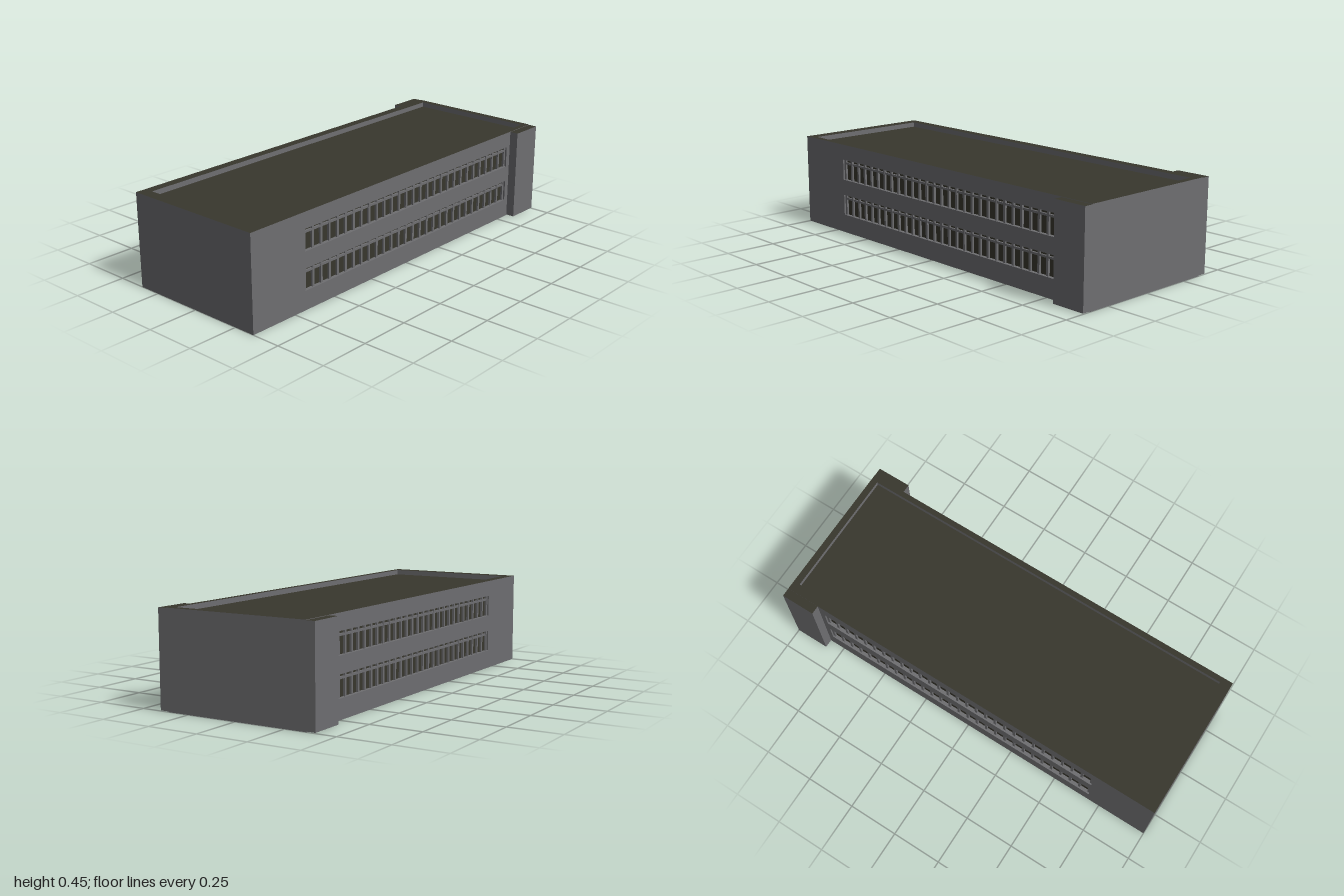
import * as THREE from 'three';
import { mergeGeometries } from 'three/addons/utils/BufferGeometryUtils.js';

const HALF_W = 0.358;   // half width of the main block
const TOP = 0.454;      // parapet height
const ROOF = 0.43;      // sunken roof height
const RECESS = 0.022;   // window depth
const WIN_FRONT = 0.687, WIN_BACK = -0.803, WIN_H = 0.103, BAYS = 28;
const SILLS = [0.092, 0.274];

function material(name, color) {
  const m = new THREE.MeshStandardMaterial({ color });
  m.name = name;
  return m;
}

// Axis-aligned box from its min and max corners
function boxBetween(x0, y0, z0, x1, y1, z1) {
  return new THREE.BoxGeometry(x1 - x0, y1 - y0, z1 - z0)
    .translate((x0 + x1) / 2, (y0 + y1) / 2, (z0 + z1) / 2);
}

function rectangle(Type, u0, v0, u1, v1) {
  return new Type([[u0, v0], [u1, v0], [u1, v1], [u0, v1]].map(p => new THREE.Vector2(...p)));
}

export function createModel() {
  const model = new THREE.Group();
  model.name = 'building';
  const wall = material('wallGrey', 0x6e6e71);
  const dark = material('darkOlive', 0x38372d);
  const darkTop = [wall, wall, dark, wall, wall, wall];

  function add(name, geometry, mat, parent = model) {
    const mesh = new THREE.Mesh(geometry, mat);
    mesh.name = name;
    parent.add(mesh);
  }

  // Solid core with the sunken roof on top
  const core = HALF_W - RECESS;
  add('coreAndRoof', boxBetween(-core, 0, -1, core, ROOF, 1), darkTop);

  // Parapet ring: dark coping, grey faces
  const ring = rectangle(THREE.Shape, -HALF_W, -1, HALF_W, 1);
  ring.holes.push(rectangle(THREE.Path, -0.313, -0.947, 0.331, 0.967));
  const parapet = new THREE.ExtrudeGeometry(ring, { depth: TOP - ROOF, bevelEnabled: false });
  parapet.rotateX(-Math.PI / 2).translate(0, ROOF, 0);
  add('parapet', parapet, [dark, wall]);

  // Side wall with two long window openings, drawn in z and y
  const side = rectangle(THREE.Shape, -1, 0, 1, ROOF);
  for (const y of SILLS) side.holes.push(rectangle(THREE.Path, WIN_BACK, y, WIN_FRONT, y + WIN_H));
  const sideWall = new THREE.ExtrudeGeometry(side, { depth: RECESS, bevelEnabled: false });
  sideWall.rotateY(-Math.PI / 2);

  for (const s of [1, -1]) {
    const label = s > 0 ? 'left' : 'right';
    add(label + 'SideWall', sideWall.clone().translate(s > 0 ? HALF_W : -core, 0, 0), wall);

    // Corner pier at the back
    const pier = new THREE.BoxGeometry(0.043, 0.449, 0.17);
    pier.translate(s * (HALF_W + 0.0215), 0.2275, -0.915);
    add(label + 'Pier', pier, darkTop);

    // Window bands: glass, mullions and a transom
    SILLS.forEach((y, row) => {
      const band = new THREE.Group();
      band.name = label + (row ? 'UpperWindows' : 'LowerWindows');
      model.add(band);
      const length = WIN_FRONT - WIN_BACK, midZ = (WIN_FRONT + WIN_BACK) / 2;

      const glass = new THREE.BoxGeometry(0.004, WIN_H, length);
      add('glass', glass.translate(s * (core + 0.002), y + WIN_H / 2, midZ), dark, band);

      const bars = [];
      const barX = s * (core + 0.007), barW = 0.012;
      for (let i = 0; i <= BAYS; i++) {
        const z = WIN_BACK + barW / 2 + (length - barW) * i / BAYS;
        bars.push(new THREE.BoxGeometry(0.014, WIN_H, barW).translate(barX, y + WIN_H / 2, z));
      }
      bars.push(new THREE.BoxGeometry(0.013, 0.01, length).translate(barX, y + 0.084, midZ));
      add('windowBars', mergeGeometries(bars), wall, band);
    });
  }
  return model;
}
